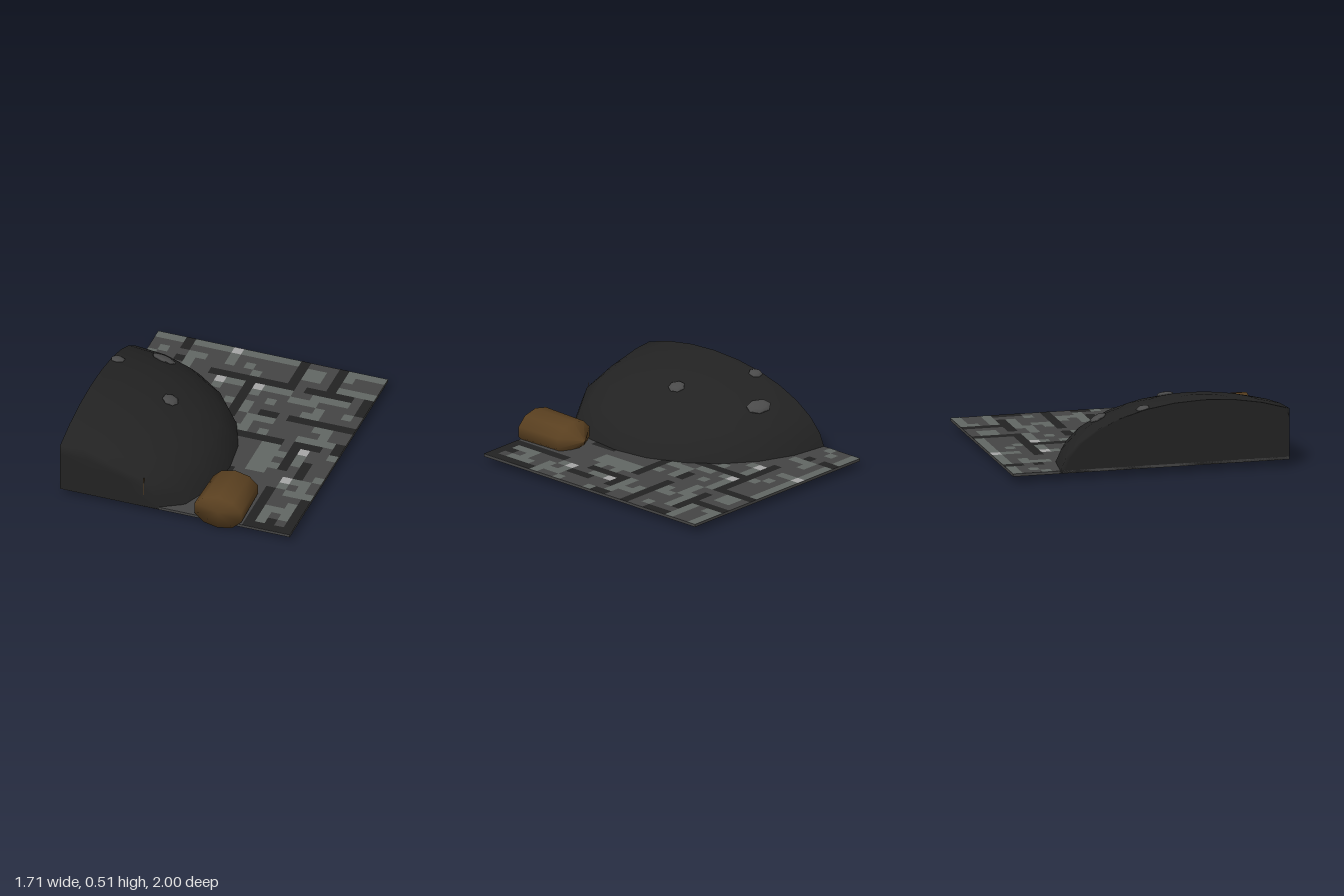
import * as THREE from 'three';
import { mergeGeometries } from 'three/addons/utils/BufferGeometryUtils.js';

const W = 0.855, TOP = 0.07, BOTTOM = 0.05;
const DOME = { x: -0.855, z: 0.38, r: 1.05, h: 0.517 };

// Tile pattern, back to front: k dark, m plain, g greenish, w pale
const TILES = [
  'gggkggggwggggggkmmmkgggg',
  'mmmkmmmmgmmmmmmkggmkgmmm',
  'mgmmggmmgmgmmmmkggmkmmmm',
  'gmmkgmmmmmmgmmmkmmmkgggg',
  'mmmmgmmkkkkkkkkkmkkkkkmk',
  'mmmmmmmmwggkwgggmmggggmk',
  'mmmmmmmmgmmkgmmmgggmmmmk',
  'mmmmmmmmmmmkmmgmmmmgmmgm',
  'mmmmmmmmmmgkgmmmmmggmmmm',
  'mmmmmmmmmmmkgmkkmkkkkkkk',
  'mmmmmmmmmmmkmgggmmmmggmm',
  'mmmmmmmmmmmmmgmmmmmmmgmm',
  'mmmmmmmmmmmmggmgmmmggggk',
  'mmmmmmmmmmmmmkkkkkmkkkmk',
  'mmmmmmmmmmmmmmmmggmkwmmg',
  'mmmmmmmmmmmmmmmmgggkgmmm',
  'mmmmmmmmmmmmmmmmggmkgkmm',
  'mmmmmmmmmmmmmmmmgggkmkmm',
  'mmmmmmmmmmmmmmmmggmmmkmg',
  'mmmmmmmmmmmmmmkmmmmmwggm',
  'mmmmmmmmmmmmmmkmmmmmgmgm',
  'mmmmmmmmmmmmmmkmmmmkmggg',
  'mmmmmmmmmmmmmmmmmmmkmmmk',
  'mmmmmmmmmmmmmmmmmmmkmmgk',
  'mmmmmmmmmmmmmmmmmmmkgggk',
  'mmmmmmmmmmmmmmmmmmmkgmgk',
  'mmmmmmmmmmmmmmmmmmmkgkmk',
  'mmmmmmmmmmmmmmmmmmmkkkkk',
];

function part(name, geometry, color) {
  const mesh = new THREE.Mesh(geometry, new THREE.MeshStandardMaterial({ color }));
  mesh.name = name;
  return mesh;
}

// Flat coloured squares of one kind, lying just above the slab
function tileLayer(name, kind, color) {
  const w = 2 * W / 24, d = 2 / TILES.length, cells = [];
  TILES.forEach((row, r) => [...row].forEach((c, i) => {
    if (c !== kind) return;
    cells.push(new THREE.PlaneGeometry(w, d).rotateX(-Math.PI / 2)
      .translate(-W + (i + 0.5) * w, TOP + 0.001, -1 + (r + 0.5) * d));
  }));
  return part(name, mergeGeometries(cells), color);
}

// Flattened ball whose overhang is pressed flat against the slab's edges
function boulderGeometry() {
  const g = new THREE.SphereGeometry(DOME.r, 24, 15);
  g.scale(1, DOME.h / DOME.r, 1).translate(DOME.x, 0, DOME.z);
  const p = g.attributes.position;
  for (let i = 0; i < p.count; i++) {
    p.setXYZ(i, Math.max(p.getX(i), -W), Math.max(p.getY(i), BOTTOM + 0.002), Math.min(p.getZ(i), 1));
  }
  g.computeVertexNormals();
  return g;
}

// Small flat stone seated on the boulder and tilted to its surface
function pebble(x, z, rx, rz, turn) {
  const dx = (x - DOME.x) / DOME.r, dz = (z - DOME.z) / DOME.r;
  const y = DOME.h * Math.sqrt(1 - dx * dx - dz * dz);
  const normal = new THREE.Vector3(dx / DOME.r, y / DOME.h ** 2, dz / DOME.r).normalize();
  const g = new THREE.SphereGeometry(1, 7, 5).scale(rx, 0.02, rz).rotateY(turn);
  g.applyQuaternion(new THREE.Quaternion().setFromUnitVectors(new THREE.Vector3(0, 1, 0), normal));
  g.translate(x, y, z);
  const p = g.attributes.position;
  for (let i = 0; i < p.count; i++) p.setX(i, Math.max(p.getX(i), -W));
  return part('pebble', g, 0x4a4a4a);
}

export function createModel() {
  const model = new THREE.Group();
  model.name = 'rockyGround';

  // Tiled slab
  const slab = part('groundSlab', new THREE.BoxGeometry(2 * W, TOP - BOTTOM, 2), 0x444444);
  slab.position.y = (TOP + BOTTOM) / 2;
  model.add(slab,
    tileLayer('darkTiles', 'k', 0x222222),
    tileLayer('greenishTiles', 'g', 0x606662),
    tileLayer('paleTiles', 'w', 0xa4a4a4));

  // Boulder with pebbles
  model.add(part('boulder', boulderGeometry(), 0x222222));
  model.add(pebble(-0.56, -0.31, 0.1, 0.065, -0.3));
  model.add(pebble(-0.81, -0.05, 0.055, 0.05, 0));
  model.add(pebble(-0.31, 0.24, 0.062, 0.062, 0.4));

  // Thin chip showing in the boulder's front cut
  const chip = part('chip', new THREE.BoxGeometry(0.004, 0.14, 0.004), 0x5a4020);
  chip.position.set(-0.23, 0.22, 0.999);
  model.add(chip);

  // Ten-sided log with a blunt point at the back and a flat front
  const profile = [[0, 0.47], [0.174, 0.36], [0.184, 0], [0, 0]]
    .reverse().map(([r, h]) => new THREE.Vector2(r, h));
  const logShape = new THREE.LatheGeometry(profile, 10);
  logShape.rotateX(-Math.PI / 2).scale(1, 0.128 / 0.184, 1).translate(0.32, 0.13, 1);
  model.add(part('log', logShape, 0x5a4020));

  return model;
}
